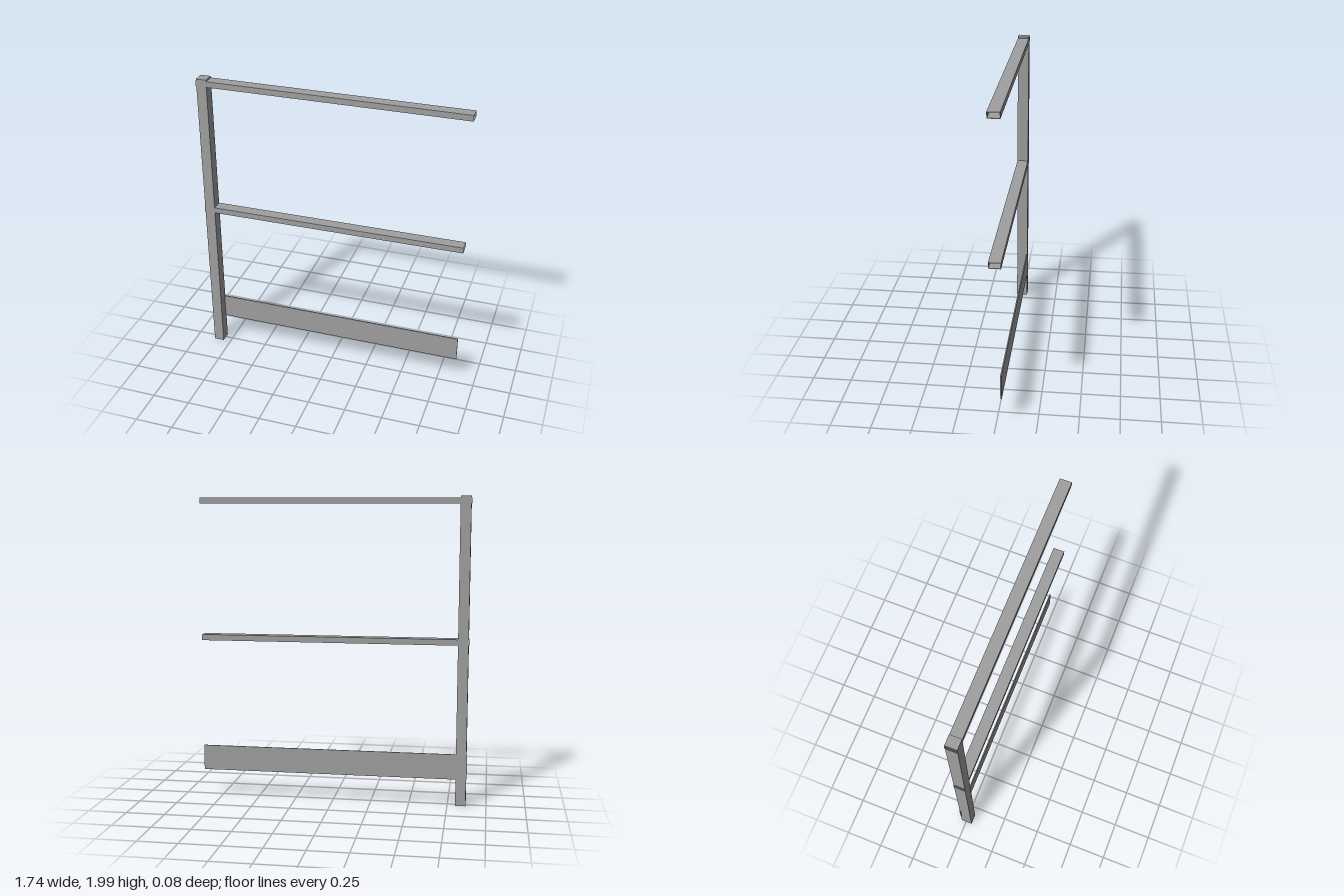
import * as THREE from 'three';

const BACK = -0.033, FRONT = 0.042; // depth shared by the post and rails

export function createModel() {
  const steel = new THREE.MeshStandardMaterial({ color: 0xa0a0a0, side: THREE.DoubleSide });
  steel.name = 'greySteel';
  const model = new THREE.Group();
  model.name = 'railingSection';

  function add(name, geometry) {
    const mesh = new THREE.Mesh(geometry, steel);
    mesh.name = name;
    model.add(mesh);
  }

  // Thin-walled rectangular tube of size w x h, open at both ends, along z
  function tube(w, h, length, wall = 0.003) {
    const rect = (s, x, y) => s.moveTo(-x, -y).lineTo(x, -y).lineTo(x, y).lineTo(-x, y).closePath();
    const shape = rect(new THREE.Shape(), w / 2, h / 2);
    shape.holes.push(rect(new THREE.Path(), w / 2 - wall, h / 2 - wall));
    return new THREE.ExtrudeGeometry(shape, { depth: length, bevelEnabled: false });
  }

  const depth = FRONT - BACK, midZ = (FRONT + BACK) / 2;

  // Upright post, open at the foot, closed by a cap plate
  add('post', tube(0.067, depth, 1.975).rotateX(-Math.PI / 2).translate(-0.8355, 0.005, midZ));
  add('postCap', new THREE.BoxGeometry(0.067, 0.01, depth).translate(-0.8355, 1.985, midZ));

  // Hollow rails running through the post, a hair beyond its outer face
  for (const [name, y] of [['topRail', 1.961], ['middleRail', 1.072]]) {
    add(name, tube(depth, 0.038, 1.743).rotateY(Math.PI / 2).translate(-0.873, y, midZ));
  }

  // Thin toe board along the back
  add('toeBoard', new THREE.BoxGeometry(1.743, 0.165, 0.008).translate(-0.0015, 0.2625, BACK + 0.004));

  return model;
}
